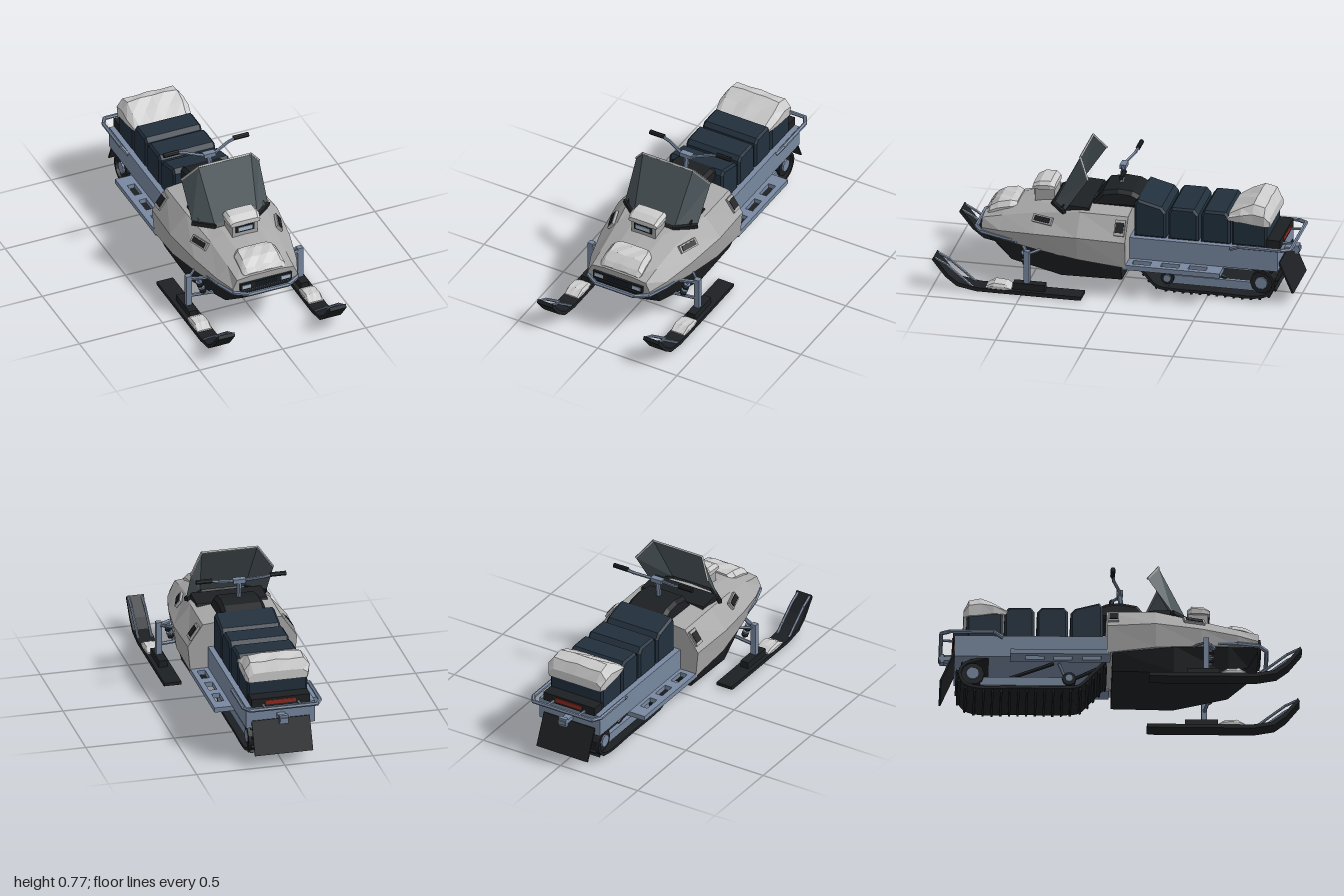
import * as THREE from 'three';
import { mergeGeometries } from 'three/addons/utils/BufferGeometryUtils.js';

const mat = (color, side = THREE.FrontSide) => new THREE.MeshStandardMaterial({ color, side, flatShading: true });
const GREY = mat(0xa8a8a8), SNOW = mat(0xcccccc), STEEL = mat(0x7888a0), NAVY = mat(0x22303d),
  BLACK = mat(0x1d2023), GLASS = mat(0x4a5459, THREE.DoubleSide), LENS = mat(0xa9bdd2), RED = mat(0x8e2a20);
const V = (x, y, z) => new THREE.Vector3(x, y, z);

export function createModel() {
  const model = new THREE.Group();
  const add = (name, geo, material, parent = model) => {
    const m = new THREE.Mesh(geo, material);
    m.name = name;
    parent.add(m);
    return m;
  };
  const box = (w, h, d, x, y, z) => new THREE.BoxGeometry(w, h, d).translate(x, y, z);

  // Loft through mirrored sections [z, half outline from bottom centre to top centre], back to front
  const loft = (sections) => {
    const rings = sections.map(([z, half]) => {
      const mirrored = half.filter(p => p[0] > 0).reverse().map(([x, y]) => [-x, y]);
      return [...half, ...mirrored].map(([x, y]) => [x, y, z]);
    });
    const n = rings[0].length, index = [], last = (rings.length - 1) * n;
    for (let k = 0; k < rings.length - 1; k++) for (let i = 0; i < n; i++) {
      const a = k * n + i, b = k * n + (i + 1) % n;
      index.push(a, b, b + n, a, b + n, a + n);
    }
    for (let i = 1; i < n - 1; i++) index.push(0, i + 1, i, last, last + i, last + i + 1);
    const g = new THREE.BufferGeometry();
    g.setAttribute('position', new THREE.Float32BufferAttribute(rings.flat(2), 3));
    g.setIndex(index);
    g.computeVertexNormals();
    return g;
  };
  // Side profile of [z, y] points extruded across x
  const profile = (pts, width, bevel = 0) => new THREE.ExtrudeGeometry(
    new THREE.Shape(pts.map(p => new THREE.Vector2(...p))),
    { depth: width - 2 * bevel, bevelEnabled: bevel > 0, bevelSize: bevel, bevelOffset: -bevel, bevelThickness: bevel, bevelSegments: 1 }
  ).translate(0, 0, bevel - width / 2).rotateY(-Math.PI / 2);
  // Bent round bar through points
  const bar = (pts, r, sides = 6) => {
    const parts = [];
    pts.forEach((p, i) => {
      if (!i) return;
      const q = pts[i - 1], d = p.clone().sub(q);
      parts.push(new THREE.CylinderGeometry(r, r, d.length(), sides)
        .applyQuaternion(new THREE.Quaternion().setFromUnitVectors(V(0, 1, 0), d.normalize()))
        .translate(...p.clone().add(q).multiplyScalar(0.5).toArray()));
      if (i < pts.length - 1) parts.push(new THREE.SphereGeometry(r, sides, 4).translate(p.x, p.y, p.z));
    });
    return mergeGeometries(parts);
  };
  const mirrored = (half) => [...half, ...half.slice().reverse().map(p => V(-p.x, p.y, p.z))];

  // Hood and belly pan
  const hoodRow = (z, b, w, s, t, c) => [z, [[0, b[1]], b, w, s, t, [0, c]]];
  add('hood', loft([
    hoodRow(-0.07, [.295, .18], [.31, .335], [.225, .458], [.13, .468], .47),
    hoodRow(0.2, [.305, .21], [.322, .345], [.225, .46], [.13, .472], .476),
    hoodRow(0.45, [.27, .235], [.287, .33], [.19, .42], [.1, .445], .45),
    hoodRow(0.65, [.225, .255], [.24, .312], [.175, .378], [.09, .402], .406),
    hoodRow(0.765, [.185, .275], [.195, .3], [.17, .352], [.09, .362], .362),
  ]), GREY);
  const bellyRow = (z, mx, my, bx, by) => [z, [[0, my], [mx, my], [bx, by], [0, by]]];
  add('bellyPan', loft([
    bellyRow(-0.04, .245, .088, .29, .2), bellyRow(0.3, .25, .085, .288, .225),
    bellyRow(0.6, .165, .115, .232, .26), bellyRow(0.71, .105, .185, .21, .275),
    bellyRow(0.762, .15, .255, .18, .285),
  ]), BLACK);

  // Nose lamps and grille
  add('noseFrame', box(.31, .042, .03, 0, .306, .762), BLACK);
  for (const s of [-1, 1]) add('noseLamp', box(.052, .022, .01, s * .118, .306, .775), LENS);
  for (let i = -1; i <= 1; i++) add('grilleSlat', box(.13, .006, .012, 0, .306 + i * .011, .775), NAVY);

  // Hood lamp pod
  add('lampPod', box(.15, .1, .11, 0, .485, .435), GREY);
  add('lampFrame', box(.112, .042, .012, 0, .486, .49), BLACK);
  add('lampLens', box(.086, .024, .01, 0, .487, .494), LENS);

  // Snow caps
  const snowRow = (z, w, y, h, lump = 0) => [z, [[0, y], [w, y], [w * 1.03, y + h * .55],
    [w * .84, y + h * .95], [w * .4, y + h - lump], [0, y + h]]];
  add('lampSnow', loft([snowRow(.375, .08, .515, .03), snowRow(.4, .092, .515, .05), snowRow(.46, .094, .515, .048),
    snowRow(.5, .086, .512, .028)]), SNOW);
  add('hoodSnow', loft([snowRow(.585, .1, .38, .05), snowRow(.62, .12, .37, .072, .008), snowRow(.69, .123, .355, .072, -.006),
    snowRow(.735, .125, .345, .055, .008), snowRow(.755, .115, .345, .025)]), SNOW);
  add('seatSnow', loft([snowRow(-.855, .165, .445, .055), snowRow(-.825, .18, .45, .11, .008), snowRow(-.76, .178, .455, .12, -.003),
    snowRow(-.69, .18, .465, .078, .01), snowRow(-.61, .165, .465, .028)]), SNOW);

  // Windshield: centre pane, two swept side panes, pale top rim and dark base trim
  const low = [V(-.228, .455, .29), V(-.127, .455, .372), V(.127, .455, .372), V(.228, .455, .29)];
  const high = [V(-.234, .657, .155), V(-.158, .76, .215), V(.158, .76, .215), V(.234, .657, .155)];
  const strip = (a, b) => {
    const g = new THREE.BufferGeometry().setFromPoints([...a, ...b]);
    g.setIndex([0, 1, 2].flatMap(i => [i, i + 1, i + 5, i, i + 5, i + 4]));
    g.computeVertexNormals();
    return g;
  };
  add('windshield', strip(low, high), GLASS);
  add('windshieldRim', bar(high, .007, 4), GREY);
  add('windshieldTrim', bar(low, .016, 4), BLACK);
  add('dashboard', profile([[.33, .45], [.15, .45], [.16, .478], [.3, .485]], .4), BLACK);

  // Side vents, oriented to the hood panels
  for (const s of [-1, 1]) {
    const vent = (w, h, x, y, z, normal) => {
      const g = new THREE.Group();
      g.name = 'sideVent';
      g.position.set(s * x, y, z);
      g.lookAt(s * (x + normal[0]), y + normal[1], z + normal[2]);
      add('ventFrame', box(w, h, .016, 0, 0, 0), GREY, g);
      add('ventSlot', box(w * .8, h * .65, .018, 0, 0, .003), BLACK, g);
      model.add(g);
    };
    vent(.12, .045, .237, .4, .41, [.76, .6, .25]);
    vent(.058, .09, .268, .405, -.032, [.82, .57, 0]);
  }

  // Front bumper
  add('frontBumper', bar(mirrored([V(.245, .262, .54), V(.228, .27, .65), V(.19, .275, .765), V(.12, .275, .81)]), .012), STEEL);

  // Skis and suspension, one per side
  for (const s of [-1, 1]) {
    const g = new THREE.Group();
    g.name = s > 0 ? 'leftSki' : 'rightSki';
    g.position.x = s * .335;
    add('skiBlade', profile([[.16, .004], [.18, 0], [.75, 0], [.86, .02], [.925, .07], [1, .165], [.99, .184], [.91, .085],
      [.85, .04], [.745, .022], [.16, .022]], .098), BLACK, g);
    for (const x of [-.038, .038])
      add('skiHandle', bar([V(x, .174, .985), V(x, .14, .92), V(x, .065, .825), V(x, .02, .77)], .008), STEEL, g);
    add('skiSaddle', box(.05, .04, .18, 0, .04, .46), BLACK, g);
    add('skiSnow', loft([snowRow(.555, .04, .018, .015), snowRow(.59, .046, .018, .034), snowRow(.655, .046, .018, .038, .004),
      snowRow(.7, .042, .018, .012)]), SNOW, g);
    add('skiStrut', box(.032, .2, .03, 0, .15, .475), STEEL, g);
    add('upperArm', bar([V(0, .228, .475), V(-s * .1, .236, .52)], .011), STEEL, g);
    add('upperArmRear', bar([V(0, .228, .475), V(-s * .08, .236, .4)], .008), STEEL, g);
    add('lowerArm', bar([V(0, .115, .475), V(-s * .165, .115, .5)], .01), STEEL, g);
    const a = V(-s * .085, .125, .5), b = V(-s * .045, .235, .5);
    add('shockRod', bar([a, b], .008), STEEL, g);
    for (let i = 0; i < 4; i++) {
      const coil = add('shockCoil', new THREE.CylinderGeometry(.02, .02, .011, 8), i % 2 ? STEEL : BLACK, g);
      coil.position.lerpVectors(a, b, .18 + i * .2);
      coil.rotation.z = -s * .35;
    }
    model.add(g);
  }

  // Tunnel and running boards with cut-outs
  add('tunnel', box(.39, .125, .835, 0, .26, -.4875), STEEL);
  for (const s of [-1, 1]) {
    const rect = (P, x0, x1, z0, z1) => new P([[x0, z0], [x1, z0], [x1, z1], [x0, z1]].map(p => new THREE.Vector2(...p)));
    const board = rect(THREE.Shape, -.055, .055, .05, .6);
    for (const z of [.1, .26, .415]) board.holes.push(rect(THREE.Path, -.02, .025, z, z + .102));
    add('runningBoard', new THREE.ExtrudeGeometry(board, { depth: .028, bevelEnabled: false })
      .rotateX(-Math.PI / 2).translate(s * .24, .17, 0), STEEL);
  }

  // Seat cushions and tank
  const seatPart = (z0, z1, y0, y1) => profile([[z0, .32], [z0, y0 - .025], [z0 - .02, y0], [z1 + .025, y1], [z1, y1 - .03], [z1, .32]].reverse(), .34, .012);
  add('frontCushion', seatPart(-.09, -.268, .54, .505), NAVY);
  add('middleCushion', seatPart(-.282, -.452, .51, .51), NAVY);
  add('rearCushion', seatPart(-.466, -.63, .51, .51), NAVY);
  add('tailCushion', seatPart(-.64, -.838, .49, .49), NAVY);
  add('tank', profile([[.165, .465], [.1, .55], [.01, .567], [-.07, .56], [-.13, .53], [-.13, .465]], .25, .02), BLACK);

  // Handlebar
  add('steeringPost', bar([V(0, .55, .02), V(0, .675, .003)], .014), STEEL);
  add('barClamp', box(.07, .025, .035, 0, .668, .005), STEEL);
  add('handlebar', bar(mirrored([V(.18, .7, -.036), V(.13, .69, -.03), V(.035, .668, .005)]), .009), STEEL);
  for (const s of [-1, 1]) add('grip', bar([V(s * .165, .702, -.036), V(s * .255, .702, -.036)], .0135, 8), BLACK);

  // Tail: lamp housing, carry rail, hitch and mud flap
  add('tailHousing', box(.33, .05, .08, 0, .345, -.872), BLACK);
  add('tailLamp', box(.17, .024, .012, 0, .346, -.91), RED);
  add('rearRail', bar(mirrored([V(.198, .31, -.64), V(.218, .336, -.69), V(.218, .336, -.93), V(.19, .336, -.978)]), .011), STEEL);
  for (const s of [-1, 1]) add('railBrace', bar([V(s * .1, .33, -.89), V(s * .1, .336, -.978)], .008), STEEL);
  add('hitch', box(.045, .022, .09, 0, .263, -.945), STEEL);
  add('hitchPin', box(.05, .05, .022, 0, .263, -.972), STEEL);
  add('mudFlap', profile([[-.9, .24], [-.91, .24], [-.987, .062], [-.977, .062]].reverse(), .33), BLACK);

  // Drive track: belt segments and lugs along a side path
  const path = new THREE.CatmullRomCurve3([[-.08, .18], [-.15, .105], [-.22, .034], [-.3, .024], [-.55, .024], [-.78, .024], [-.85, .05],
    [-.877, .11], [-.85, .162], [-.79, .185], [-.68, .215]].map(([z, y]) => V(0, y, z)));
  const N = 48, belt = [], lugs = [], pts = path.getSpacedPoints(N);
  for (let i = 0; i < N; i++) {
    const d = pts[i + 1].clone().sub(pts[i]), mid = pts[i].clone().lerp(pts[i + 1], .5);
    const place = (g) => g.rotateX(-Math.atan2(-d.y, -d.z) * -1 * -1).translate(0, mid.y, mid.z);
    belt.push(place(box(.35, .016, d.length() + .004, 0, 0, 0)));
    if (i % 2 === 0) lugs.push(place(box(.316, .02, .012, 0, -.014, 0)));
  }
  add('trackBelt', mergeGeometries(belt), BLACK);
  add('trackLugs', mergeGeometries(lugs), BLACK);

  // Track rails, wheels and swing arms
  const wheel = (name, r, w, x, y, z, m) => add(name, new THREE.CylinderGeometry(r, r, w, 10).rotateZ(Math.PI / 2).translate(x, y, z), m);
  for (const s of [-1, 1]) {
    add('slideRail', box(.025, .05, .47, s * .13, .073, -.53), STEEL);
    wheel('frontWheel', .038, .04, s * .14, .084, -.275, BLACK);
    wheel('frontHub', .022, .05, s * .145, .084, -.275, STEEL);
    wheel('rearWheel', .064, .04, s * .14, .108, -.805, BLACK);
    wheel('rearHub', .036, .05, s * .145, .108, -.805, STEEL);
    add('frontSwingArm', bar([V(s * .12, .17, -.1), V(s * .12, .085, -.275)], .011), BLACK);
    add('middleSwingArm', bar([V(s * .12, .19, -.36), V(s * .12, .1, -.6)], .011), BLACK);
    add('shortLink', bar([V(s * .12, .19, -.33), V(s * .12, .09, -.29)], .009), STEEL);
  }
  for (const [z, y] of [[-.275, .084], [-.805, .108]]) add('axle', bar([V(-.14, y, z), V(.14, y, z)], .012), STEEL);

  return model;
}
